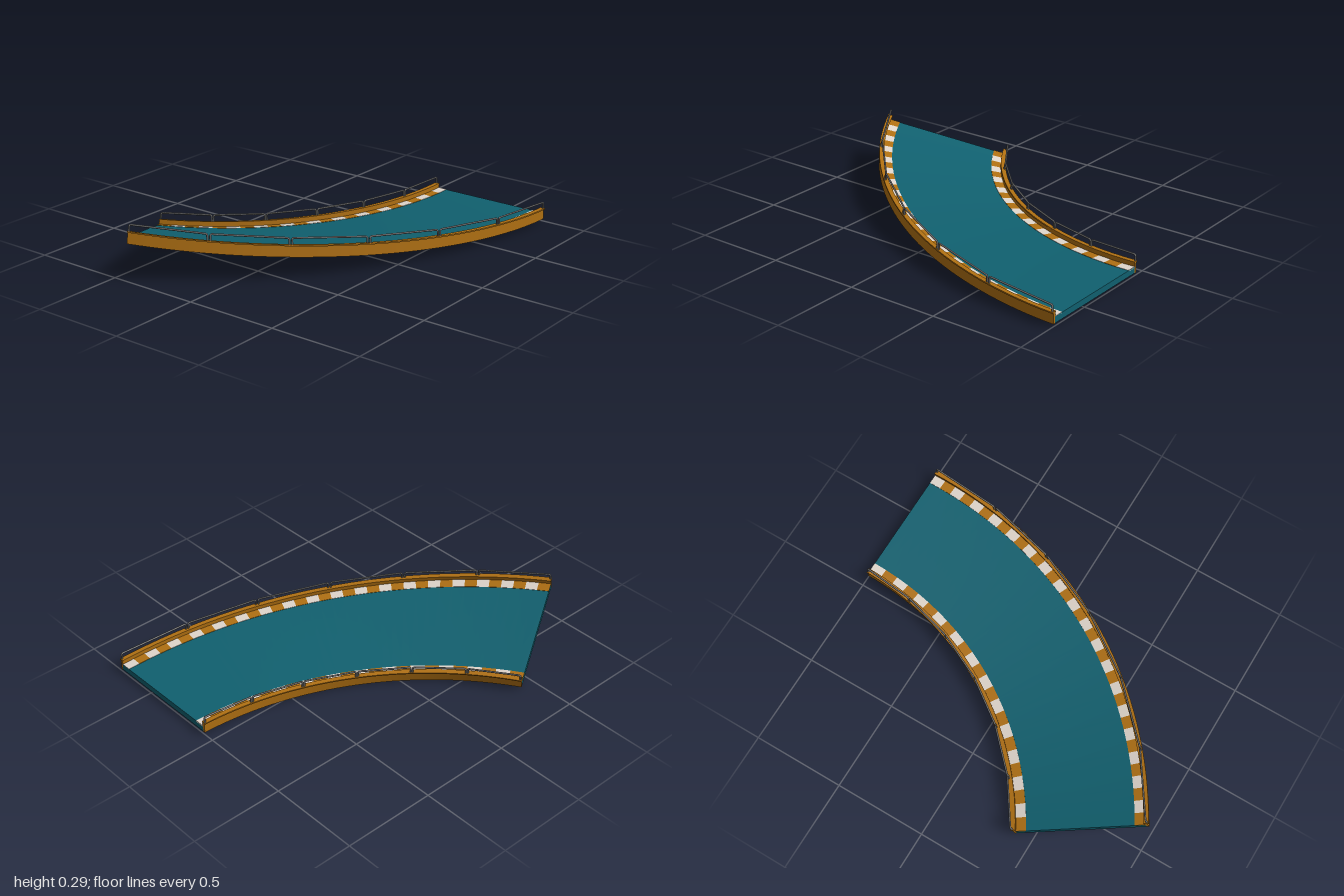
import * as THREE from 'three';
import { mergeGeometries, toCreasedNormals } from 'three/addons/utils/BufferGeometryUtils.js';

const CX = -1.567, CZ = -1;      // centre of the bend
const R = 1.617, W = 0.708;      // inner radius, full width
const TURN = Math.PI / 3;
const WALL_H = 0.063;

// Point on the banked track: s across (inner to outer), h up, u along (0..1)
function track(s, h, u) {
  const dip = 0.052 * u * (1 - u);
  const a = Math.asin((0.18 * Math.pow(u, 1.35) + dip) / (W - 0.01));
  const r = R + s * Math.cos(a) - h * Math.sin(a);
  const y = 0.014 - dip + s * Math.sin(a) + h * Math.cos(a);
  return new THREE.Vector3(CX + r * Math.cos(u * TURN), y, CZ + r * Math.sin(u * TURN));
}

// Sweep a counter-clockwise [s, h] profile along the bend, with end caps
function sweep(profile, u0, u1, steps) {
  const pos = [];
  const tri = (...pts) => pts.forEach(p => pos.push(p.x, p.y, p.z));
  const ring = u => profile.map(([s, h]) => track(s, h, u));
  const n = profile.length;
  for (let k = 0; k < steps; k++) {
    const p = ring(u0 + (u1 - u0) * k / steps);
    const q = ring(u0 + (u1 - u0) * (k + 1) / steps);
    for (let i = 0; i < n; i++) {
      const j = (i + 1) % n;
      tri(p[i], p[j], q[i]);
      tri(p[j], q[j], q[i]);
    }
  }
  const first = ring(u0), last = ring(u1);
  const faces = THREE.ShapeUtils.triangulateShape(profile.map(([s, h]) => new THREE.Vector2(s, h)), []);
  for (const [a, b, c] of faces) {
    tri(first[a], first[c], first[b]);
    tri(last[a], last[b], last[c]);
  }
  const g = new THREE.BufferGeometry();
  g.setAttribute('position', new THREE.Float32BufferAttribute(pos, 3));
  return toCreasedNormals(g, 0.4);
}

const rect = (s0, s1, h0, h1) => [[s0, h0], [s1, h0], [s1, h1], [s0, h1]];
const mirror = profile => profile.map(([s, h]) => [W - s, h]).reverse();

// One hoop of guard rail: two posts joined by a straight bar with rounded corners
function hoop(s, u0, u1) {
  const height = 0.033, bend = 0.01;
  const a = track(s, WALL_H - 0.004, u0), b = track(s, WALL_H - 0.004, u1);
  const a2 = track(s, WALL_H + height, u0), b2 = track(s, WALL_H + height, u1);
  const along = b2.clone().sub(a2).normalize().multiplyScalar(bend);
  const downA = a.clone().sub(a2).normalize().multiplyScalar(bend);
  const downB = b.clone().sub(b2).normalize().multiplyScalar(bend);
  const a1 = a2.clone().add(downA), a3 = a2.clone().add(along);
  const b3 = b2.clone().sub(along), b1 = b2.clone().add(downB);
  const path = new THREE.CurvePath();
  path.add(new THREE.LineCurve3(a, a1));
  path.add(new THREE.QuadraticBezierCurve3(a1, a2, a3));
  path.add(new THREE.LineCurve3(a3, b3));
  path.add(new THREE.QuadraticBezierCurve3(b3, b2, b1));
  path.add(new THREE.LineCurve3(b1, b));
  return new THREE.TubeGeometry(path, 96, 0.005, 8, false);
}

export function createModel() {
  const group = new THREE.Group();
  const mat = color => new THREE.MeshStandardMaterial({ color });
  const teal = mat(0x10606f), orange = mat(0xb07012), pale = mat(0xe0d6cc), steel = mat(0x777777);
  const add = (name, geometry, material) => {
    const mesh = new THREE.Mesh(geometry, material);
    mesh.name = name;
    group.add(mesh);
  };

  // Road slab
  add('roadDeck', sweep(rect(0.02, W - 0.02, 0.001, 0.035), 0, 1, 36), teal);

  // Side wall with a thin lip on top
  const wall = [[0.008, 0], [0.022, 0], [0.022, 0.056], [0.026, 0.056],
    [0.026, WALL_H], [0, WALL_H], [0, 0.056], [0.008, 0.056]];
  const kerb = rect(0.022, 0.075, 0.03, 0.037);

  for (const side of ['inner', 'outer']) {
    const place = side === 'inner' ? p => p : mirror;
    add(side + 'Wall', sweep(place(wall), 0, 1, 36), orange);

    // Striped kerb, alternating pale and orange blocks
    const count = side === 'inner' ? 24 : 36;
    const blocks = [[], []];
    for (let i = 0; i < count; i++) {
      blocks[i % 2].push(sweep(place(kerb), i / count, (i + 1) / count, 1));
    }
    add(side + 'KerbPale', mergeGeometries(blocks[0]), pale);
    add(side + 'KerbOrange', mergeGeometries(blocks[1]), orange);

    // Guard rail in six hoops
    const s = side === 'inner' ? 0.009 : W - 0.009;
    const hoops = [];
    for (let i = 0; i < 6; i++) hoops.push(hoop(s, i / 6 + 0.003, (i + 1) / 6 - 0.003));
    add(side + 'GuardRail', mergeGeometries(hoops), steel);
  }
  return group;
}
